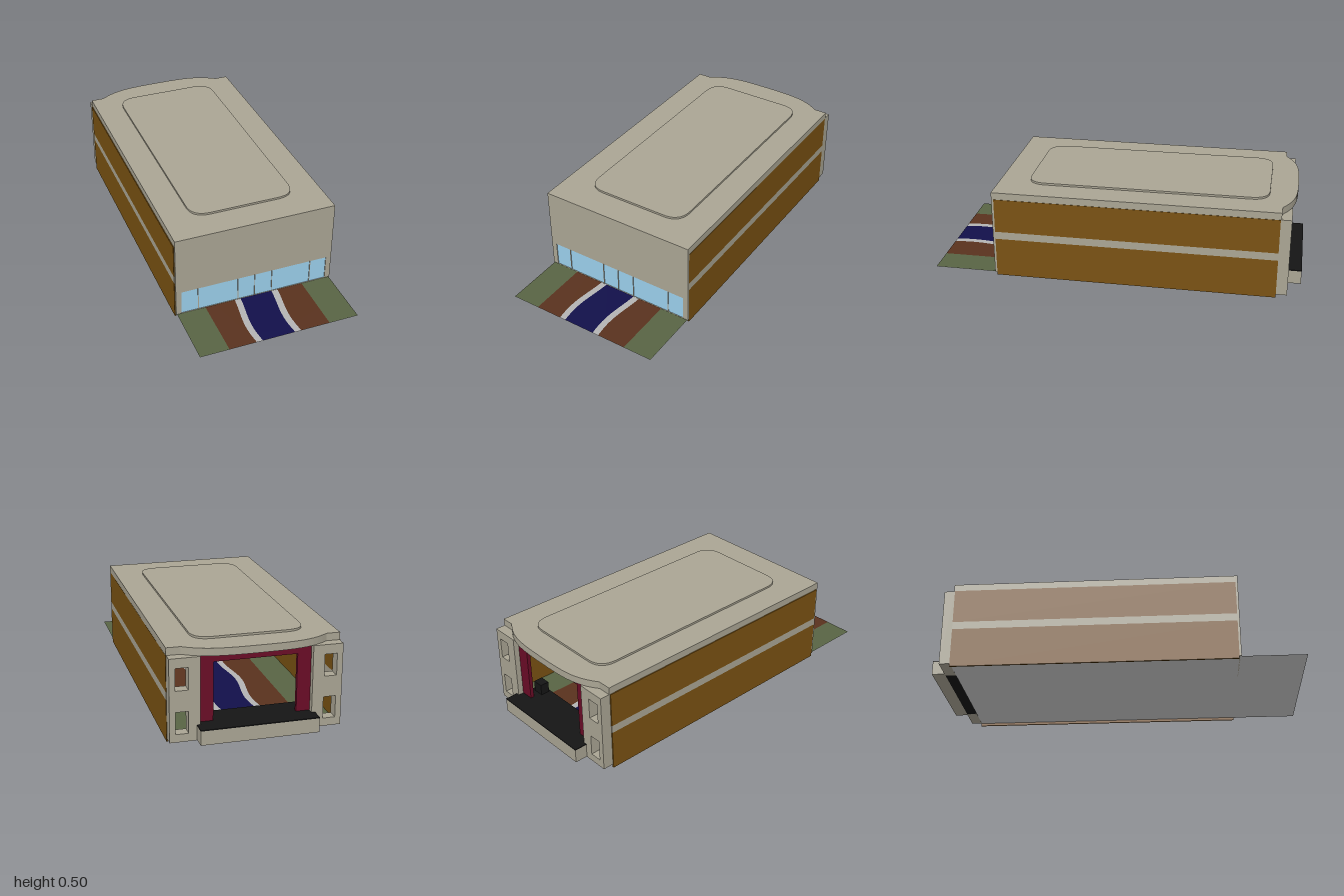
import * as THREE from 'three';

const mat = (color, side = THREE.FrontSide) => new THREE.MeshStandardMaterial({ color, side });
const STONE = mat(0xaaa594), BROWN = mat(0x7a5212), GLASS = mat(0x9bcfec), RED = mat(0x6a0c26),
  BLACK = mat(0x151515), GREY = mat(0xcccccc, THREE.DoubleSide);

// Box given by its min and max on each axis
function box(name, material, x0, x1, y0, y1, z0, z1) {
  const mesh = new THREE.Mesh(new THREE.BoxGeometry(x1 - x0, y1 - y0, z1 - z0), material);
  mesh.position.set((x0 + x1) / 2, (y0 + y1) / 2, (z0 + z1) / 2);
  mesh.name = name;
  return mesh;
}

function rect(x0, x1, y0, y1, Type = THREE.Shape) {
  const s = new Type();
  s.moveTo(x0, y0).lineTo(x1, y0).lineTo(x1, y1).lineTo(x0, y1).closePath();
  return s;
}

function roundedRect(x0, x1, y0, y1, r, Type = THREE.Shape) {
  const s = new Type();
  s.moveTo(x0 + r, y0).lineTo(x1 - r, y0).quadraticCurveTo(x1, y0, x1, y0 + r);
  s.lineTo(x1, y1 - r).quadraticCurveTo(x1, y1, x1 - r, y1);
  s.lineTo(x0 + r, y1).quadraticCurveTo(x0, y1, x0, y1 - r);
  s.lineTo(x0, y0 + r).quadraticCurveTo(x0, y0, x0 + r, y0);
  return s;
}

// Upright plate drawn in x, y and extruded along z
function plate(name, material, shape, z0, z1) {
  const geo = new THREE.ExtrudeGeometry(shape, { depth: z1 - z0, bevelEnabled: false });
  const mesh = new THREE.Mesh(geo, material);
  mesh.position.z = z0;
  mesh.name = name;
  return mesh;
}

// Flat slab drawn in x, -z and extruded along y
function slab(name, material, shape, y0, y1) {
  const geo = new THREE.ExtrudeGeometry(shape, { depth: y1 - y0, bevelEnabled: false, curveSegments: 10 });
  geo.rotateX(-Math.PI / 2);
  const mesh = new THREE.Mesh(geo, material);
  mesh.position.y = y0;
  mesh.name = name;
  return mesh;
}

// Strip of ground between two edge functions of z
function groundStrip(name, color, left, right) {
  const shape = new THREE.Shape(), n = 60, zAt = i => -0.87 + 1.87 * i / n;
  for (let i = 0; i <= n; i++) shape[i ? 'lineTo' : 'moveTo'](left(zAt(i)), -zAt(i));
  for (let i = n; i >= 0; i--) shape.lineTo(right(zAt(i)), -zAt(i));
  const geo = new THREE.ShapeGeometry(shape).rotateX(-Math.PI / 2);
  const mesh = new THREE.Mesh(geo, mat(color));
  mesh.position.y = 0.017;
  mesh.name = name;
  return mesh;
}

export function createModel() {
  const g = new THREE.Group();
  g.name = 'building';

  // Ground sheet with a winding river between banks
  const ground = new THREE.Mesh(new THREE.PlaneGeometry(0.874, 1.87).rotateX(-Math.PI / 2), GREY);
  ground.position.set(0, 0.015, 0.065);
  ground.name = 'groundSheet';
  g.add(ground);
  const bend = z => -0.005 + 0.014 * Math.cos((z - 0.62) * 2 * Math.PI / 0.55);
  const edges = [() => -0.437, () => -0.28, z => bend(z) - 0.122, z => bend(z) - 0.088,
    z => bend(z) + 0.09, z => bend(z) + 0.125, () => 0.275, () => 0.437];
  const GREEN = 0x586444, EARTH = 0x59321e, BANK = 0xb4b4b4, WATER = 0x12104a;
  [GREEN, EARTH, BANK, WATER, BANK, EARTH, GREEN].forEach((color, i) =>
    g.add(groundStrip('groundStrip' + i, color, edges[i], edges[i + 1])));

  // Front wall with a row of windows
  const wall = rect(-0.442, 0.442, 0.015, 0.489);
  const panes = [[-0.412, -0.321], [-0.317, -0.098], [-0.094, -0.002],
    [0.001, 0.096], [0.099, 0.317], [0.321, 0.412]];
  for (const [a, b] of panes) {
    wall.holes.push(rect(a, b, 0.018, 0.157, THREE.Path));
    g.add(box('windowPane', GLASS, a, b, 0.018, 0.157, 0.651, 0.656));
  }
  g.add(plate('frontWall', STONE, wall, 0.648, 0.66));

  // Side walls with a pale stripe
  for (const s of [-1, 1]) {
    const xs = s < 0 ? [-0.446, -0.437] : [0.434, 0.442];
    g.add(box('sideWallLower', BROWN, ...xs, 0, 0.218, -0.872, 0.648));
    g.add(box('sideWallUpper', BROWN, ...xs, 0.26, 0.449, -0.872, 0.648));
    g.add(box('sideStripe', STONE, ...xs, 0.218, 0.26, -0.872, 0.648));
  }

  // Roof with a curved rear canopy, a rounded recess below and its raised lid
  const roof = new THREE.Shape();
  roof.moveTo(-0.442, -0.65).lineTo(0.442, -0.65).lineTo(0.442, 0.877).lineTo(0.37, 0.877);
  roof.bezierCurveTo(0.27, 0.945, 0.2, 0.953, 0, 0.953);
  roof.bezierCurveTo(-0.2, 0.953, -0.27, 0.945, -0.37, 0.877);
  roof.lineTo(-0.442, 0.877).closePath();
  roof.holes.push(roundedRect(-0.285, 0.285, -0.495, 0.8, 0.1, THREE.Path));
  g.add(slab('roof', STONE, roof, 0.45, 0.489));
  g.add(slab('roofLid', STONE, roundedRect(-0.29, 0.29, -0.5, 0.805, 0.1), 0.487, 0.5));

  // Rear piers, each with two openings
  for (const s of [-1, 1]) {
    const a = Math.min(s * 0.285, s * 0.44), b = Math.max(s * 0.285, s * 0.44);
    const pier = rect(a, b, 0.018, 0.45);
    for (const y of [0.06, 0.285])
      pier.holes.push(rect(Math.min(s * 0.345, s * 0.41), Math.max(s * 0.345, s * 0.41), y, y + 0.115, THREE.Path));
    g.add(plate('rearPier', STONE, pier, -0.93, -0.872));
  }

  // Red surround of the rear opening
  for (const s of [-1, 1])
    g.add(box('redSurroundSide', RED, s * 0.25 - 0.036, s * 0.25 + 0.036, 0.1, 0.45, -0.9, -0.88));
  g.add(box('redSurroundTop', RED, -0.214, 0.214, 0.405, 0.45, -0.9, -0.88));

  // Rear ledge and the dark stage on it
  g.add(box('rearLedge', STONE, -0.303, 0.303, 0.02, 0.094, -1, -0.93));
  g.add(box('ledgeTop', BLACK, -0.303, 0.303, 0.094, 0.099, -1, -0.93));
  g.add(box('stage', BLACK, -0.284, 0.284, 0.02, 0.099, -0.93, -0.78));
  g.add(box('stageBlock', BLACK, 0.2, 0.26, 0.099, 0.16, -0.84, -0.79));

  return g;
}
